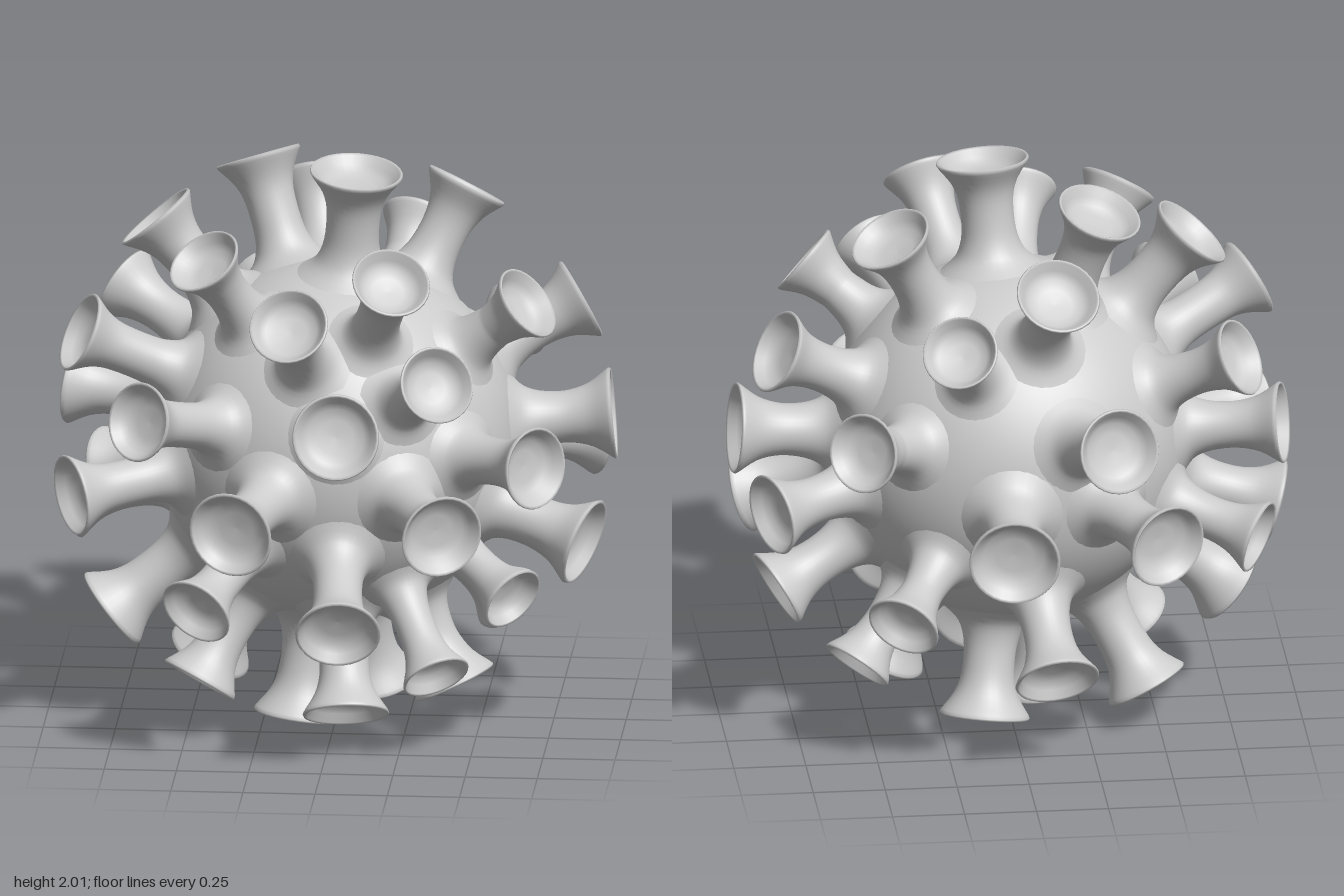
import * as THREE from 'three';

const BODY_RADIUS = 0.63;

// Spikes: position of the cup centre from the body centre (x, y, z) and cup radius
const FRONT = [
  [0.066, 0.262, 0.93, 0.15], [-0.30, -0.10, 0.92, 0.153], [0.43, -0.10, 0.885, 0.148],
  [0.07, -0.46, 0.885, 0.148], [-0.11, 0.61, 0.765, 0.138], [0.405, 0.415, 0.78, 0.135],
  [-0.63, 0.257, 0.775, 0.138], [-0.43, -0.42, 0.78, 0.132], [0.235, 0.735, 0.63, 0.137],
  [-0.43, 0.74, 0.43, 0.134], [0.735, 0.08, 0.635, 0.143], [0.653, -0.405, 0.587, 0.12],
];
const SIDES = [
  [-0.885, -0.10, 0.475, 0.142], [0.68, 0.57, 0.275, 0.135], [0.88, -0.28, 0.295, 0.155],
  [-0.87, 0.435, 0.29, 0.142], [-0.635, 0.755, -0.06, 0.15], [-0.775, -0.615, 0.09, 0.153],
  [0.825, 0.44, -0.24, 0.147], [0.95, 0.085, -0.055, 0.158], [-0.93, 0.10, -0.23, 0.142],
  [-0.925, -0.26, -0.06, 0.146], [0.86, -0.095, -0.42, 0.143], [0.825, -0.445, -0.235, 0.143],
  [-0.77, 0.415, -0.395, 0.136], [-0.83, -0.245, -0.425, 0.13],
];
const TOP_AND_BOTTOM = [
  [0.075, 0.98, 0.115, 0.162], [-0.295, 0.92, -0.26, 0.15], [0.43, 0.84, -0.235, 0.146],
  [0.388, -0.69, 0.595, 0.12], [-0.455, -0.805, 0.30, 0.138], [0.066, -0.865, 0.475, 0.15],
  [-0.12, -0.97, 0.125, 0.162], [0.415, -0.845, 0.12, 0.148], [0.56, -0.685, -0.375, 0.127],
  [-0.46, -0.855, -0.235, 0.148], [0.105, -0.94, -0.255, 0.157],
];
const BACK = [
  [-0.117, 0.75, -0.595, 0.146], [0.435, -0.405, -0.73, 0.13], [0.57, 0.23, -0.69, 0.138],
  [0.232, 0.585, -0.675, 0.132], [-0.10, -0.63, -0.73, 0.147], [0.07, -0.095, -0.95, 0.158],
  [-0.30, 0.28, -0.885, 0.148], [-0.47, -0.09, -0.86, 0.15],
];

// Trumpet profile: fillet out of the body, waist, flared rim, shallow cup
function spikeGeometry(rim, tip) {
  const k = rim / 0.15;
  const foot = 0.175 * k;
  const stem = [
    [foot, Math.sqrt(BODY_RADIUS ** 2 - foot ** 2) - 0.004],
    [0.122 * k, 0.642], [0.097 * k, 0.69], [0.086 * k, 0.755],
    [0.088 * k, tip - 0.14], [0.106 * k, tip - 0.075], [rim * 0.96, tip - 0.014],
  ];
  const cup = [
    [rim, tip - 0.003], [rim * 0.975, tip + 0.004], [rim * 0.92, tip],
    [rim * 0.8, tip - 0.028], [rim * 0.65, tip - 0.05], [rim * 0.4, tip - 0.06], [0, tip - 0.063],
  ];
  const toVec = ([r, h]) => new THREE.Vector2(r, h);
  const curve = new THREE.SplineCurve(stem.map(toVec));
  return new THREE.LatheGeometry([...curve.getPoints(18), ...cup.map(toVec)], 32);
}

export function createModel() {
  const model = new THREE.Group();
  model.name = 'spikedSphere';
  const material = new THREE.MeshStandardMaterial({ color: 0xcccccc });

  // Round core
  const body = new THREE.Mesh(new THREE.SphereGeometry(BODY_RADIUS, 72, 48), material);
  body.name = 'body';
  body.position.y = 1;
  model.add(body);

  // Spikes pointing out from the centre, each as long as its cup is far away
  const up = new THREE.Vector3(0, 1, 0);
  const groups = {
    frontSpikes: FRONT, sideSpikes: SIDES,
    topAndBottomSpikes: TOP_AND_BOTTOM, backSpikes: BACK,
  };
  for (const [name, list] of Object.entries(groups)) {
    const group = new THREE.Group();
    group.name = name;
    group.position.y = 1;
    for (const [x, y, z, rim] of list) {
      const cupCentre = new THREE.Vector3(x, y, z);
      const spike = new THREE.Mesh(spikeGeometry(rim, cupCentre.length()), material);
      spike.name = 'spike';
      spike.quaternion.setFromUnitVectors(up, cupCentre.normalize());
      group.add(spike);
    }
    model.add(group);
  }
  return model;
}
